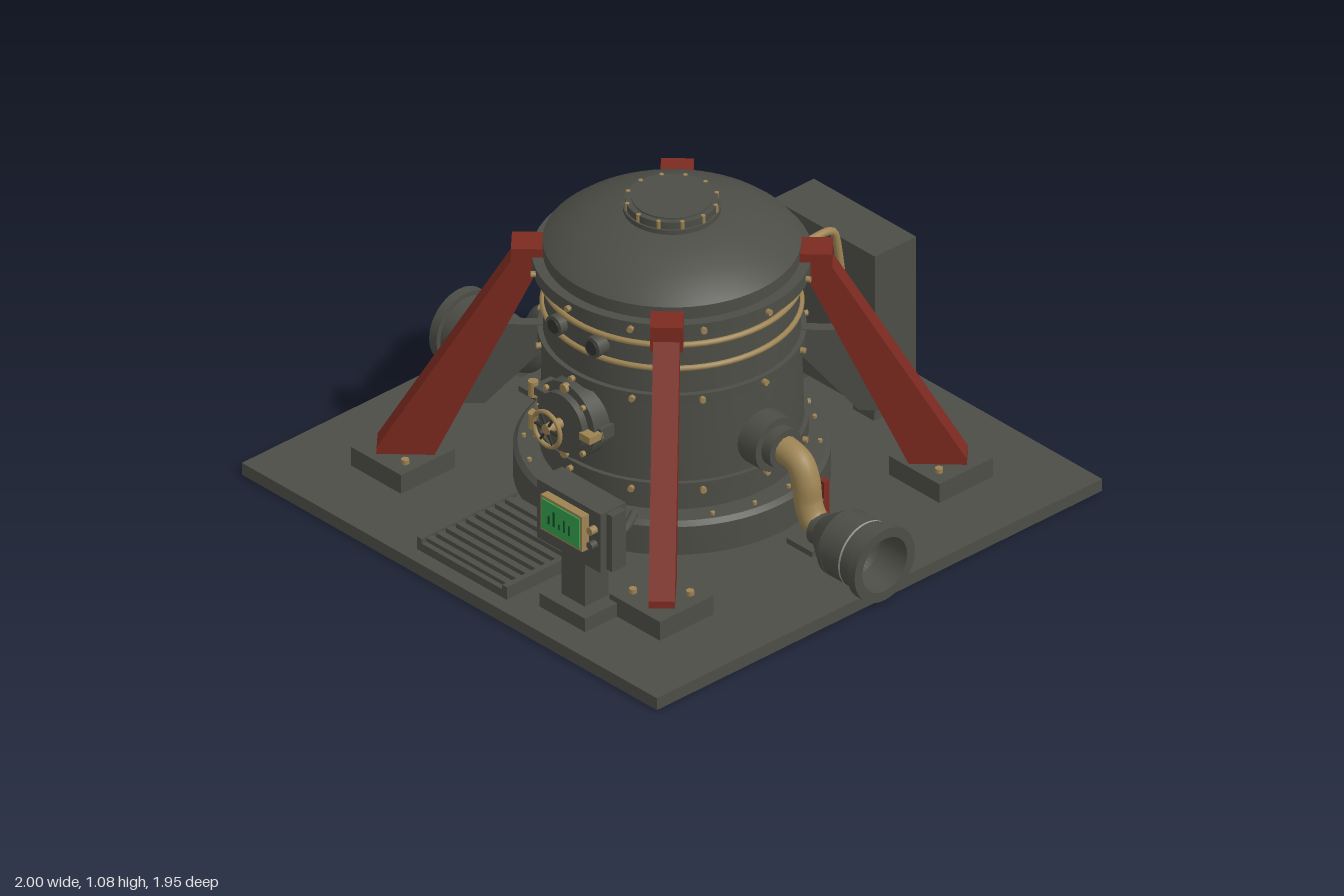
import * as THREE from 'three';
import { toCreasedNormals } from 'three/addons/utils/BufferGeometryUtils.js';

const mat = (name, color) => {
  const m = new THREE.MeshStandardMaterial({ color });
  m.name = name;
  return m;
};

export function createModel() {
  const root = new THREE.Group();
  root.name = 'reactorVessel';
  const steel = mat('darkSteel', 0x4d4d47), red = mat('redPaint', 0x7c2a20), brass = mat('brass', 0x9c8353);
  const green = mat('screenGreen', 0x35a04c), darkGreen = mat('screenMarks', 0x17512a);
  const black = mat('blackSteel', 0x32332f), pale = mat('paleSteel', 0x9a9a92);

  // Helpers
  const add = (name, geo, m, x = 0, y = 0, z = 0, parent = root) => {
    const mesh = new THREE.Mesh(geo, m);
    mesh.name = name;
    mesh.position.set(x, y, z);
    parent.add(mesh);
    return mesh;
  };
  const group = (name, x = 0, y = 0, z = 0) => {
    const g = new THREE.Group();
    g.name = name;
    g.position.set(x, y, z);
    root.add(g);
    return g;
  };
  // Box given by its limits
  const box = (name, m, x0, x1, y0, y1, z0, z1, parent = root) =>
    add(name, new THREE.BoxGeometry(x1 - x0, y1 - y0, z1 - z0), m, (x0 + x1) / 2, (y0 + y1) / 2, (z0 + z1) / 2, parent);
  const lathe = (pts, seg = 48) =>
    toCreasedNormals(new THREE.LatheGeometry(pts.map(p => new THREE.Vector2(p[0], p[1])), seg), 0.5);
  const cyl = (r, h, seg = 20, r2 = r) => new THREE.CylinderGeometry(r, r2, h, seg);
  const cylZ = (r, h, seg = 24) => cyl(r, h, seg).rotateX(Math.PI / 2);
  const cylX = (r, h, seg = 24) => cyl(r, h, seg).rotateZ(Math.PI / 2);
  const slab = (pts, w) =>
    new THREE.ExtrudeGeometry(new THREE.Shape(pts.map(p => new THREE.Vector2(p[0], p[1]))), { depth: w, bevelEnabled: false }).translate(0, 0, -w / 2);
  const tube = (pts, r, seg = 32) =>
    new THREE.TubeGeometry(new THREE.CatmullRomCurve3(pts.map(p => new THREE.Vector3(...p)), false, 'centripetal'), seg, r, 14);

  // Ground plate
  box('basePlate', steel, -0.975, 0.975, 0, 0.045, -0.975, 0.975);

  // Vessel, dome and cap
  add('footRing', lathe([[0, 0.04], [0.51, 0.04], [0.51, 0.15], [0.495, 0.165], [0.4, 0.165]], 64), steel);
  add('vesselWall', lathe([[0.425, 0.16], [0.425, 0.25], [0.415, 0.58], [0.405, 0.88]], 64), steel);
  for (const [y, r, h] of [[0.245, 0.44, 0.05], [0.58, 0.432, 0.035], [0.852, 0.45, 0.045]]) {
    add('flange', cyl(r, h, 64), steel, 0, y, 0);
    for (let i = 0; i < 12; i++) {
      const a = i * Math.PI / 6;
      const bolt = add('flangeBolt', cylZ(0.011, 0.03, 6), brass, Math.sin(a) * r, y, Math.cos(a) * r);
      bolt.rotation.y = a;
    }
  }
  for (let i = 0; i < 20; i++) {
    const a = (i + 0.5) * Math.PI / 10;
    add('footBolt', cyl(0.008, 0.015, 6), brass, Math.sin(a) * 0.475, 0.168, Math.cos(a) * 0.475);
  }
  for (const y of [0.69, 0.778])
    add('brassBand', new THREE.TorusGeometry(0.415, 0.01, 8, 64).rotateX(Math.PI / 2), brass, 0, y, 0);
  add('dome', lathe([[0.4, 0.86], [0.415, 0.875], [0.415, 0.92], [0.385, 0.945], [0.31, 0.987],
    [0.23, 1.017], [0.15, 1.035], [0, 1.045]], 64), steel);
  add('topCap', lathe([[0.157, 1.02], [0.157, 1.05], [0.15, 1.05], [0.15, 1.075], [0.13, 1.075], [0.13, 1.08], [0, 1.08]]), steel);
  for (let i = 0; i < 12; i++) {
    const a = i * Math.PI / 6;
    add('capBolt', cyl(0.008, 0.028, 6), brass, Math.sin(a) * 0.147, 1.063, Math.cos(a) * 0.147);
  }

  // Four braced legs, built along a radius and turned
  for (let i = 0; i < 4; i++) {
    const g = group('leg');
    g.rotation.y = Math.PI / 4 + i * Math.PI / 2;
    add('legBeam', slab([[0.41, 0.86], [0.76, 0.115], [0.947, 0.115], [0.945, 0.14], [0.51, 0.86]], 0.085), red, 0, 0, 0, g);
    box('legHead', red, 0.395, 0.515, 0.815, 0.905, -0.053, 0.053, g);
    add('legGusset', slab([[0.4, 0.6], [0.4, 0.52], [0.6, 0.3], [0.68, 0.3], [0.54, 0.6]], 0.04), steel, 0, 0, 0, g);
    const sx = i % 3 === 0 ? 1 : -1, sz = i < 2 ? -1 : 1;
    box('footPad', steel, sx * 0.608 - 0.118, sx * 0.608 + 0.118, 0.04, 0.115, sz * 0.612 - 0.118, sz * 0.612 + 0.118);
    for (const [bx, bz] of [[0.535, 0.67], [0.67, 0.545]])
      add('footPadBolt', cyl(0.014, 0.018, 6), brass, sx * bx, 0.122, sz * bz);
  }

  // Front hatch with hand wheel
  const hatch = group('hatch', 0, 0.435, 0);
  add('hatchFrame', cylZ(0.135, 0.12, 40), steel, 0, 0, 0.405, hatch);
  add('hatchDoor', cylZ(0.105, 0.03, 40), steel, 0, 0, 0.475, hatch);
  add('hatchHub', cylZ(0.018, 0.07, 16), brass, 0, 0, 0.52, hatch);
  add('hatchWheel', new THREE.TorusGeometry(0.062, 0.008, 8, 32), brass, 0, 0, 0.548, hatch);
  for (let i = 0; i < 3; i++)
    add('wheelSpoke', cyl(0.005, 0.124, 8), black, 0, 0, 0.548, hatch).rotation.z = i * Math.PI / 3 + 0.5;
  for (let i = 0; i < 8; i++) {
    const a = i * Math.PI / 4;
    add('hatchBolt', cylZ(i % 4 ? 0.01 : 0.017, 0.02, 8), brass, Math.sin(a) * 0.122, Math.cos(a) * 0.122, 0.468, hatch);
  }
  for (const y of [-0.06, 0.06]) {
    add('hatchHinge', cyl(0.017, 0.055), brass, -0.143, y, 0.475, hatch);
    box('hingeArm', steel, -0.14, -0.07, y - 0.014, y + 0.014, 0.4, 0.485, hatch);
  }
  box('hatchLatch', brass, 0.1, 0.15, -0.013, 0.013, 0.44, 0.5, hatch);
  box('latchBlock', steel, 0.115, 0.15, -0.022, 0.022, 0.37, 0.45, hatch);

  // Two small portholes
  for (const x of [-0.09, 0.09]) {
    add('portholeRim', cylZ(0.036, 0.05), steel, x, 0.735, 0.41);
    add('portholeGlass', cylZ(0.025, 0.008), black, x, 0.735, 0.435);
  }

  // Floor grating before the hatch
  box('grateBed', black, -0.2, 0.2, 0.04, 0.06, 0.51, 0.91);
  for (const s of [-1, 1]) {
    box('grateSide', steel, s * 0.2 - 0.011, s * 0.2 + 0.011, 0.045, 0.092, 0.5, 0.92);
    box('grateEnd', steel, -0.2, 0.2, 0.045, 0.075, 0.71 + s * 0.2 - 0.01, 0.71 + s * 0.2 + 0.01);
  }
  for (let i = 0; i < 9; i++)
    box('grateSlat', steel, -0.19, 0.19, 0.05, 0.088, 0.53 + i * 0.043, 0.555 + i * 0.043);

  // Control console
  box('consoleFoot', steel, 0.31, 0.525, 0.04, 0.095, 0.66, 0.87);
  box('consolePost', steel, 0.36, 0.47, 0.09, 0.26, 0.715, 0.82);
  box('consoleCase', steel, 0.245, 0.545, 0.255, 0.475, 0.71, 0.82);
  box('consoleSide', steel, 0.54, 0.572, 0.26, 0.47, 0.735, 0.795);
  box('screenBezel', brass, 0.295, 0.49, 0.322, 0.453, 0.815, 0.85);
  box('screen', green, 0.305, 0.48, 0.332, 0.443, 0.848, 0.855);
  [0.03, 0.055, 0.02, 0.045, 0.035].forEach((h, i) =>
    box('screenBar', darkGreen, 0.335 + i * 0.024, 0.343 + i * 0.024, 0.362, 0.362 + h, 0.852, 0.857));
  for (const y of [0.355, 0.41]) add('consoleKnob', cylZ(0.014, 0.03, 16), y < 0.4 ? steel : brass, 0.518, y, 0.83);
  add('consoleCable', tube([[0.25, 0.17, 0.4], [0.29, 0.165, 0.47], [0.31, 0.15, 0.58], [0.34, 0.15, 0.69],
    [0.39, 0.17, 0.73], [0.42, 0.2, 0.75]], 0.014), steel);

  // Side pipes with open flared nozzles
  for (const s of [-1, 1]) {
    const m = s > 0 ? brass : steel;
    add('wallFlange', cylX(0.095, 0.1, 32), steel, s * 0.445, 0.37, 0);
    add('wallCollar', cylX(0.07, 0.05, 32), steel, s * 0.51, 0.37, 0);
    add('elbowPipe', tube([[s * 0.42, 0.37, 0], [s * 0.53, 0.37, 0], [s * 0.6, 0.35, 0], [s * 0.632, 0.29, 0],
      [s * 0.64, 0.22, 0], [s * 0.67, 0.165, 0], [s * 0.73, 0.145, 0], [s * 0.78, 0.145, 0]], 0.047, 48), m);
    const nozzle = add('nozzle', lathe([[0.04, 0.69], [0.055, 0.69], [0.055, 0.715], [0.115, 0.805], [0.115, 0.965],
      [0.132, 0.965], [0.132, 1], [0.098, 1], [0.09, 0.88], [0.04, 0.8]], 40), steel, 0, 0.145, 0);
    nozzle.rotation.z = -s * Math.PI / 2;
    add('nozzleBore', cylX(0.042, 0.02), m, s * 0.795, 0.145, 0);
    add('nozzleBand', cylX(0.1165, 0.008, 40), steel, s * 0.82, 0.145, 0);
    const band = add('paleBand', new THREE.CylinderGeometry(0.117, 0.117, 0.008, 40, 1, true), pale, 0, 0.145, 0);
    band.rotation.z = -s * Math.PI / 2;
    band.position.x = s * 0.91;

    // Lever beside the pipe
    box('leverPad', steel, s * 0.63 - 0.06, s * 0.63 + 0.06, 0.04, 0.065, -0.165, 0.03);
    box('leverPost', steel, s * 0.625 - 0.016, s * 0.625 + 0.016, 0.06, 0.13, -0.105, -0.065);
    box('lever', red, s * 0.625 - 0.012, s * 0.625 + 0.012, 0.12, 0.26, -0.097, -0.073);
    add('leverLink', cylZ(0.012, 0.09, 12), steel, s * 0.625, 0.19, -0.05);
  }

  // Rear cooling cabinet
  box('cabinet', steel, -0.24, 0.24, 0.09, 0.68, -0.845, -0.665);
  for (const s of [-1, 1]) {
    box('cabinetFoot', steel, s * 0.17 - 0.05, s * 0.17 + 0.05, 0.04, 0.1, -0.83, -0.68);
    box('cabinetTrim', brass, s * 0.215 - 0.004, s * 0.215 + 0.004, 0.13, 0.64, -0.849, -0.843);
  }
  const fan = group('fan', 0, 0.43, -0.85);
  const ring = new THREE.Shape().absarc(0, 0, 0.147, 0, Math.PI * 2);
  ring.holes.push(new THREE.Path().absarc(0, 0, 0.118, 0, Math.PI * 2, true));
  add('fanRing', toCreasedNormals(new THREE.ExtrudeGeometry(ring, { depth: 0.055, bevelEnabled: false, curveSegments: 40 }), 0.5),
    steel, 0, 0, -0.055, fan);
  add('fanBack', cylZ(0.12, 0.01, 32), black, 0, 0, 0, fan);
  for (let i = 0; i < 4; i++) {
    const blade = add('fanBlade', new THREE.BoxGeometry(0.055, 0.1, 0.008).translate(0, 0.06, 0).rotateY(0.45), brass, 0, 0, -0.028, fan);
    blade.rotation.z = i * Math.PI / 2 + 0.5;
  }
  add('fanHub', cylZ(0.03, 0.06, 20), brass, 0, 0, -0.035, fan);
  for (const x of [-0.06, 0, 0.06]) {
    const h = Math.sqrt(0.13 ** 2 - x * x);
    box('fanGuard', steel, x - 0.007, x + 0.007, -h, h, -0.068, -0.055, fan);
  }

  // Coolant pipes from vessel to cabinet
  for (const [x, y] of [[-0.13, 0.685], [0.13, 0.77]]) {
    add('coolantPipe', tube([[x, y, -0.37], [x, y, -0.48], [x, y, -0.56], [x, y - 0.012, -0.585], [x, y - 0.04, -0.597],
      [x, 0.52, -0.63], [x, 0.41, -0.652], [x, 0.38, -0.68]], 0.014, 40), brass);
    add('pipeCollar', cylZ(0.026, 0.03, 16), brass, x, y, -0.405);
  }
  return root;
}
